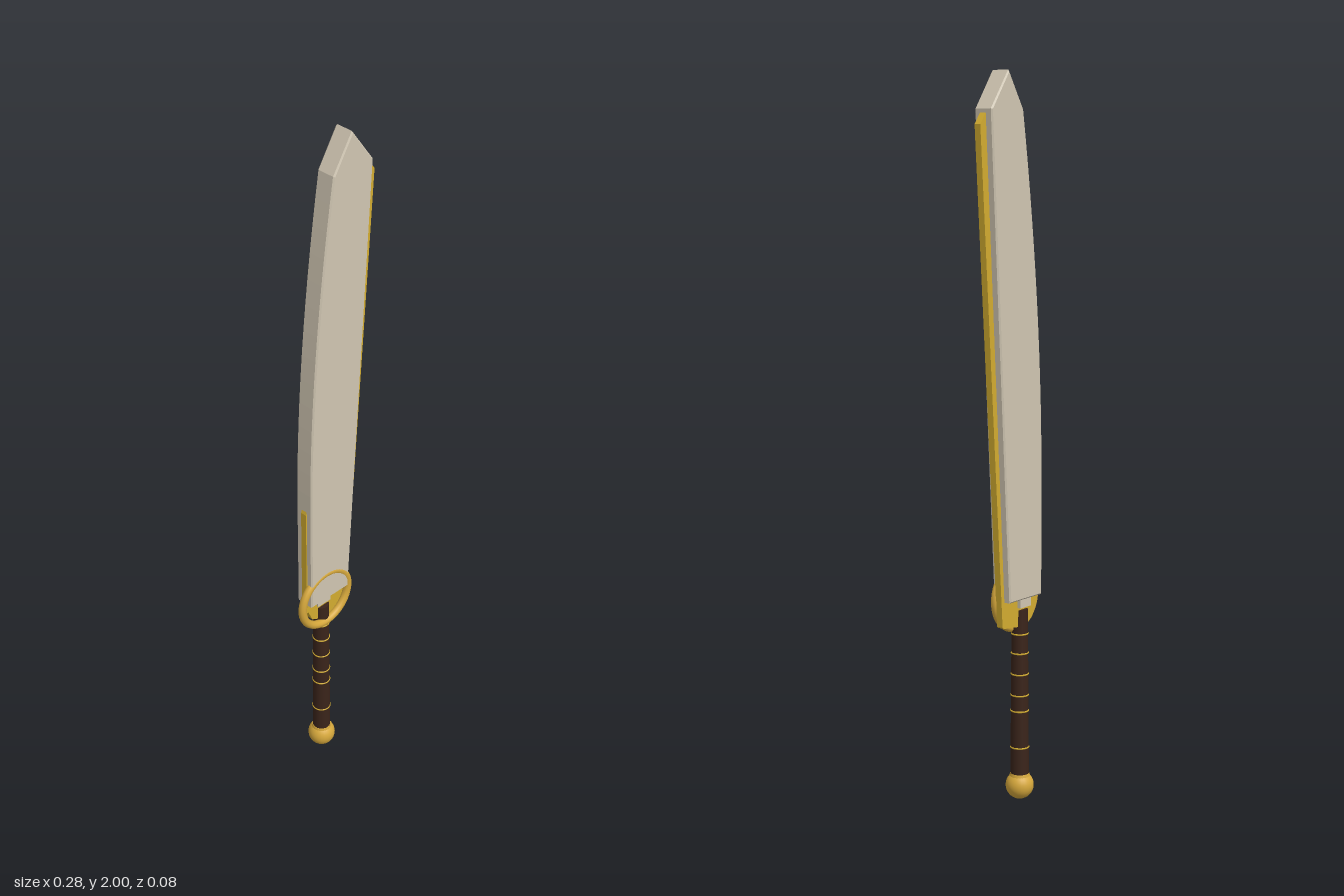
import * as THREE from 'three';

const mat = (color) => new THREE.MeshStandardMaterial({ color });
const AXIS = -0.042; // x of the grip's centre line

export function createModel() {
  const group = new THREE.Group();
  const steel = mat(0xd0c6b2), gold = mat(0xd6a83c), trim = mat(0xd2ac30), leather = mat(0x3a241a);

  const add = (name, geometry, material, x = 0, y = 0, z = 0) => {
    const mesh = new THREE.Mesh(geometry, material);
    mesh.name = name;
    mesh.position.set(x, y, z);
    group.add(mesh);
    return mesh;
  };

  // Extrudes an outline between two z values, with the bevel kept inside it
  const plate = (shape, z0, z1, bevel) => {
    const g = new THREE.ExtrudeGeometry(shape, {
      depth: z1 - z0 - 2 * bevel, bevelEnabled: bevel > 0, bevelThickness: bevel,
      bevelSize: bevel, bevelOffset: -bevel, bevelSegments: 1, curveSegments: 14,
    });
    return g.translate(0, 0, z0 + bevel);
  };

  // Broad blade: curved left edge, straight right edge, pointed tip
  const blade = new THREE.Shape();
  blade.moveTo(-0.103, 0.578);
  blade.lineTo(0.04, 0.578);
  blade.lineTo(0.118, 1.9);
  blade.lineTo(0.045, 2.0);
  blade.lineTo(-0.018, 1.9);
  blade.bezierCurveTo(-0.072, 1.56, -0.103, 1.22, -0.103, 0.9);
  add('blade', plate(blade, -0.033, 0.025, 0.004), steel);

  // Gold core: guard plate below the blade, running up as a rail on the right edge
  const core = new THREE.Shape();
  core.moveTo(-0.1, 0.55);
  core.lineTo(-0.085, 0.515);
  core.lineTo(-0.042, 0.495);
  core.lineTo(0.042, 0.505);
  core.lineTo(0.048, 0.51);
  core.lineTo(0.14, 1.86);
  core.lineTo(0.117, 1.89);
  core.lineTo(0.09, 1.6);
  core.lineTo(0.02, 0.62);
  core.lineTo(-0.09, 0.62);
  add('guardAndEdgeRail', plate(core, -0.012, 0.007, 0), trim);

  // Short gold inlay on the left edge
  const inlay = new THREE.Shape();
  inlay.moveTo(-0.106, 0.55);
  inlay.lineTo(-0.09, 0.55);
  inlay.lineTo(-0.09, 0.95);
  inlay.lineTo(-0.106, 0.9);
  add('leftEdgeInlay', plate(inlay, -0.012, 0.007, 0), trim);

  // Ring on the front of the guard
  add('guardRing', new THREE.TorusGeometry(0.088, 0.012, 10, 48), gold, AXIS, 0.577, 0.015);

  // Tang joining grip and blade
  add('tang', new THREE.BoxGeometry(0.048, 0.03, 0.034), steel, AXIS, 0.567, -0.006);

  // Wrapped grip with thin gold bands
  add('grip', new THREE.CylinderGeometry(0.0225, 0.026, 0.48, 20), leather, AXIS, 0.304, -0.002);
  for (const y of [0.15, 0.255, 0.3, 0.36, 0.42, 0.475]) {
    const r = 0.0265 - 0.0035 * (y - 0.064) / 0.48;
    const band = add('gripBand', new THREE.TorusGeometry(r - 0.001, 0.0025, 6, 24), trim, AXIS, y, -0.002);
    band.rotation.x = Math.PI / 2;
  }

  // Round pommel
  add('pommel', new THREE.SphereGeometry(0.0395, 24, 16), gold, AXIS, 0.0395, -0.002);
  add('pommelCollar', new THREE.CylinderGeometry(0.027, 0.03, 0.012, 20), gold, AXIS, 0.068, -0.002);
  return group;
}
